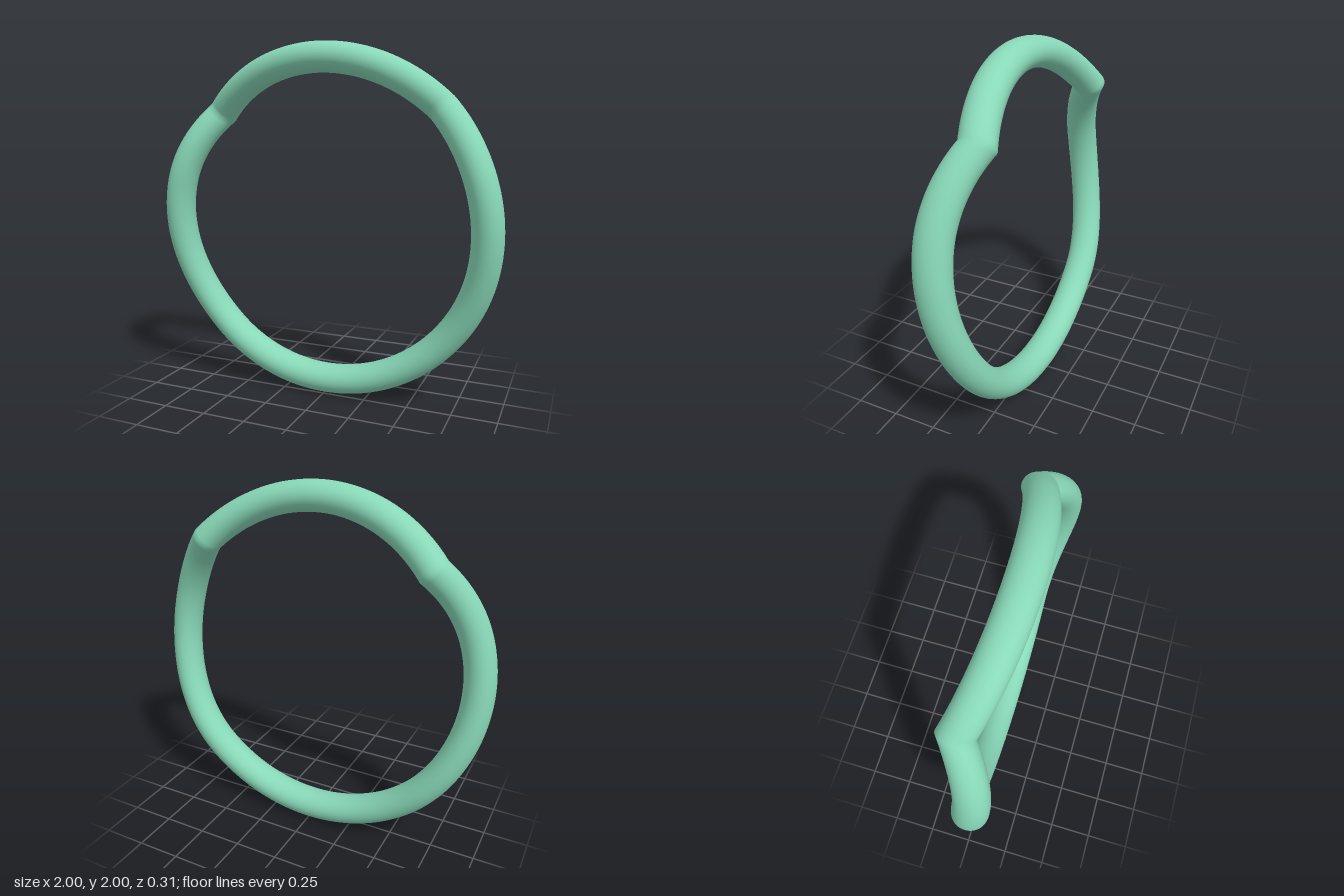
import * as THREE from 'three';
import { mergeVertices } from 'three/addons/utils/BufferGeometryUtils.js';

const RING = 0.917, TUBE = 0.083, DEPTH = 0.095;

// Forward offset of the ring, by angle in degrees away from the top
function wave(angle, kink, low) {
  const high = 0.06, peak = 75, flat = 136, base = -0.045;
  if (angle < kink) return high - (high - low) * (angle / kink) ** 2;
  if (angle < peak) return high - (high - low) * ((peak - angle) / (peak - kink)) ** 2;
  const t = Math.min((angle - peak) / (flat - peak), 1);
  return base + (high - base) * (0.5 + 0.5 * Math.cos(Math.PI * t));
}

export function createModel() {
  const group = new THREE.Group();
  group.name = 'wavyRing';

  // Torus with a slightly deep section, bent forward and back around its loop
  let geometry = new THREE.TorusGeometry(RING, TUBE, 32, 240);
  geometry.scale(1, 1, DEPTH / TUBE);
  const p = geometry.attributes.position;
  for (let i = 0; i < p.count; i++) {
    const x = p.getX(i), y = p.getY(i);
    const angle = THREE.MathUtils.radToDeg(Math.atan2(Math.abs(x), y));
    const bend = x > 0 ? wave(angle, 45, -0.045) : wave(angle, 46.5, -0.06);
    p.setZ(i, p.getZ(i) + bend);
  }

  // Weld the seams so the shading runs smoothly all the way round
  geometry.deleteAttribute('uv');
  geometry.deleteAttribute('normal');
  geometry = mergeVertices(geometry, 1e-5);
  geometry.computeVertexNormals();

  const ring = new THREE.Mesh(geometry, new THREE.MeshStandardMaterial({ color: 0x88d8b8 }));
  ring.name = 'ring';
  ring.position.y = 1;
  group.add(ring);
  return group;
}
